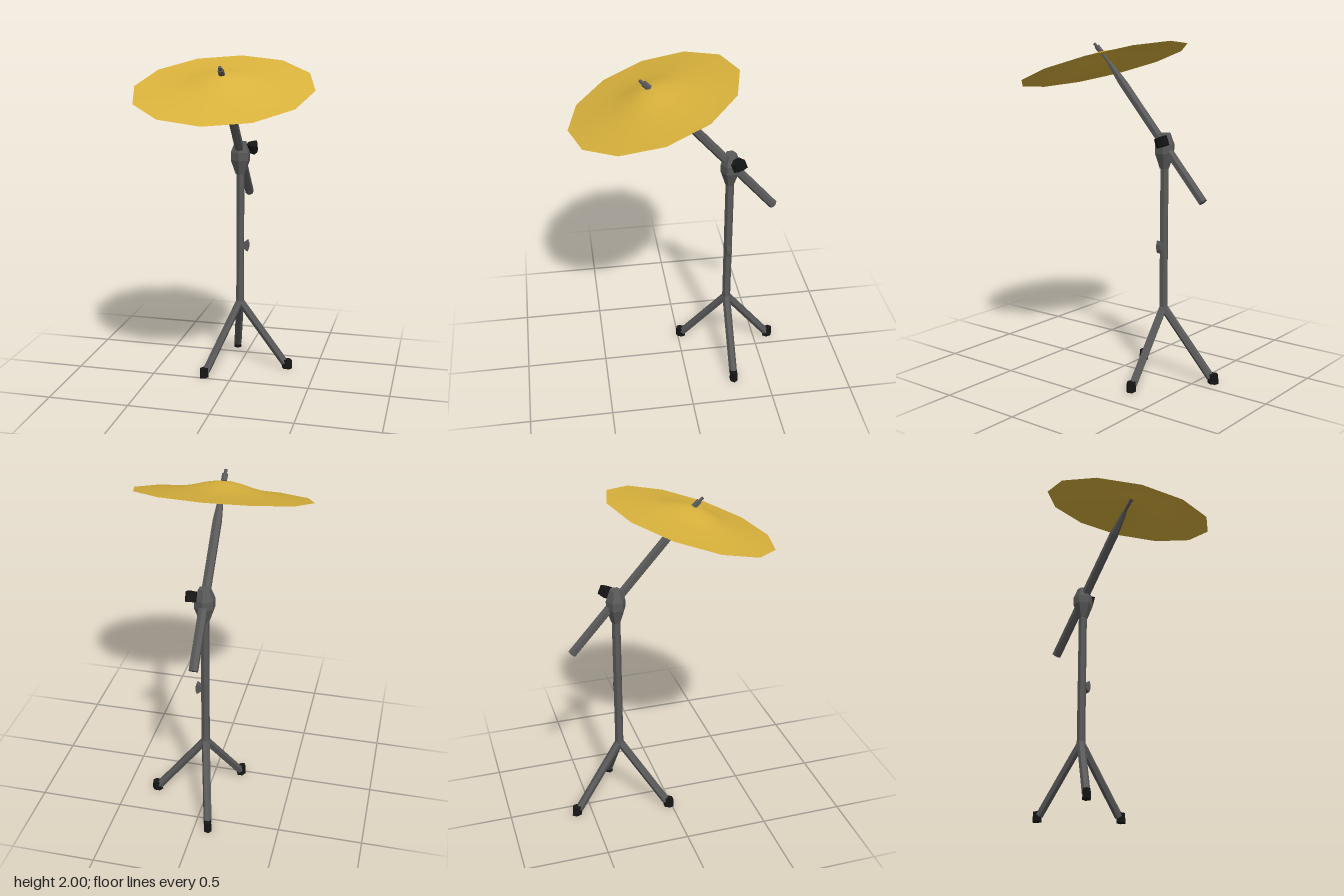
import * as THREE from 'three';

const metal = new THREE.MeshStandardMaterial({ color: 0x5a5a5a, flatShading: true });
const rubber = new THREE.MeshStandardMaterial({ color: 0x151515, flatShading: true });
const brass = new THREE.MeshStandardMaterial({ color: 0xd9b23c, side: THREE.DoubleSide });
const V = (x, y, z) => new THREE.Vector3(x, y, z);

function add(parent, name, geometry, material) {
  const mesh = new THREE.Mesh(geometry, material);
  mesh.name = name;
  parent.add(mesh);
  return mesh;
}

// Six-sided bar between two points, with its own radius at each end
function bar(parent, name, a, b, ra, rb = ra, material = metal) {
  const dir = b.clone().sub(a);
  const mesh = add(parent, name, new THREE.CylinderGeometry(rb, ra, dir.length(), 6), material);
  mesh.position.copy(a).add(b).multiplyScalar(0.5);
  mesh.quaternion.setFromUnitVectors(V(0, 1, 0), dir.normalize());
  return mesh;
}

// Fan-shaped wing grip: narrow at the stem (x = 0), wide and bowed at the outer edge
function wing(parent, name, reach, span, thickness, material) {
  const shape = new THREE.Shape([
    [0, -span * 0.2], [reach * 0.8, -span / 2], [reach, -span * 0.2],
    [reach, span * 0.2], [reach * 0.8, span / 2], [0, span * 0.2],
  ].map(([x, y]) => new THREE.Vector2(x, y)));
  const geometry = new THREE.ExtrudeGeometry(shape, { depth: thickness, bevelEnabled: false });
  geometry.translate(0, 0, -thickness / 2);
  return add(parent, name, geometry, material);
}

export function createModel() {
  const model = new THREE.Group();
  model.name = 'cymbalStand';
  const poleZ = -0.29;

  // Upright pole
  bar(model, 'pole', V(0, 0.41, poleZ), V(0, 1.32, poleZ), 0.026);

  // Tripod legs with rubber feet
  const legs = [[0.315, 0], [-0.17, 0.27], [-0.085, -0.305]];
  for (const [x, z] of legs) {
    const leg = new THREE.Group();
    leg.name = 'leg';
    model.add(leg);
    bar(leg, 'legBar', V(0, 0.435, poleZ), V(x * 0.95, 0.035, poleZ + z * 0.95), 0.025);
    const foot = add(leg, 'foot', new THREE.CylinderGeometry(0.03, 0.034, 0.06, 6), rubber);
    foot.scale.x = 0.78;
    foot.position.set(x, 0.03, poleZ + z);
    foot.rotation.y = Math.atan2(x, z);
  }

  // Height lock on the pole
  const lock = wing(model, 'heightLock', 0.036, 0.075, 0.03, metal);
  lock.position.set(0.02, 0.81, poleZ);

  // Tilting clamp and its wing knob
  const clampProfile = [[0, 1.27], [0.028, 1.27], [0.058, 1.36], [0.058, 1.41], [0.034, 1.475], [0, 1.475]];
  const clamp = add(model, 'tiltClamp',
    new THREE.LatheGeometry(clampProfile.map(([r, y]) => new THREE.Vector2(r, y)), 6), metal);
  clamp.position.z = poleZ;
  clamp.scale.x = 1.1;
  const knob = wing(model, 'tiltKnob', 0.06, 0.085, 0.055, rubber);
  knob.position.set(0.038, 1.435, -0.325);
  knob.rotation.x = -1.2;

  // Boom arm with a tapered neck, passing through the clamp
  const end = V(0, 1.1, -0.56), neck = V(0, 1.75, 0.015), tip = V(0, 1.865, 0.117);
  bar(model, 'boomArm', end, neck, 0.028);
  bar(model, 'boomNeck', neck, tip, 0.028, 0.015);
  bar(model, 'stud', tip, V(0, 1.975, 0.231), 0.01);
  bar(model, 'studNut', V(0, 1.925, 0.177), V(0, 1.957, 0.21), 0.018);

  // Tilted twelve-sided cymbal with a low bell
  const profile = [[0.53, 0], [0.39, 0.012], [0.26, 0.028], [0.18, 0.045], [0.11, 0.065], [0.05, 0.077], [0, 0.081]];
  const cymbal = add(model, 'cymbal',
    new THREE.LatheGeometry(profile.map(([r, y]) => new THREE.Vector2(r, y)), 12), brass);
  cymbal.scale.z = 0.953;
  cymbal.rotation.x = 0.301;
  cymbal.position.set(0, 1.85, 0.157);

  return model;
}
